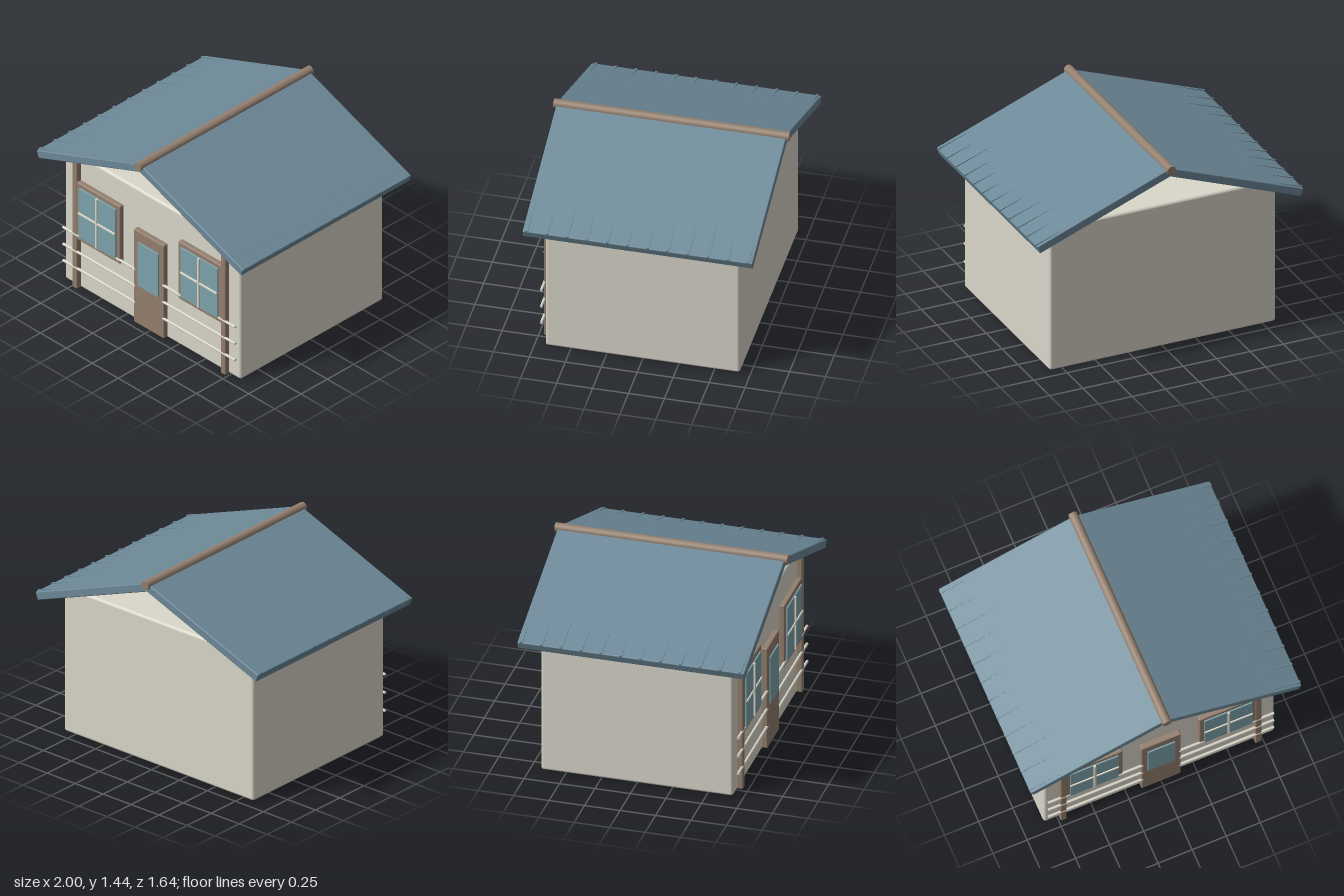
import * as THREE from 'three';
import { RoundedBoxGeometry } from 'three/addons/geometries/RoundedBoxGeometry.js';

const mat = (color) => new THREE.MeshStandardMaterial({ color });

export function createModel() {
  const house = new THREE.Group();
  house.name = 'house';
  const wall = mat(0xdad7ca), wood = mat(0x94806f), roofing = mat(0x6d8998), glass = mat(0x7da4ac);

  const add = (name, geometry, material, x, y, z, parent = house) => {
    const mesh = new THREE.Mesh(geometry, material);
    mesh.name = name;
    mesh.position.set(x, y, z);
    parent.add(mesh);
    return mesh;
  };
  // Box with softened edges, given by its extents
  const block = (name, material, [x0, x1], [y0, y1], [z0, z1], r, parent) =>
    add(name, new RoundedBoxGeometry(x1 - x0, y1 - y0, z1 - z0, 3, r), material,
      (x0 + x1) / 2, (y0 + y1) / 2, (z0 + z1) / 2, parent);

  // Walls
  block('walls', wall, [-0.847, 0.847], [0, 1.085], [-0.677, 0.677], 0.02);

  // Roof slopes with slim tapering battens rising out of the eaves
  const pitch = Math.atan(0.379), length = 1.055, thick = 0.06;
  const battenLengths = [0.4, 0.34, 0.46, 0.42, 0.36, 0.28, 0.24, 0.3, 0.34, 0.48, 0.36, 0.42];
  for (const side of [1, -1]) {
    const slope = new THREE.Group();
    slope.name = side > 0 ? 'leftRoofSlope' : 'rightRoofSlope';
    slope.position.set(side * 0.493, 1.198, 0);
    slope.rotation.z = -side * pitch;
    add('roofPanel', new RoundedBoxGeometry(length, thick, 1.6, 3, 0.008), roofing, 0, 0, 0, slope);
    battenLengths.forEach((l, i) => {
      const shape = new THREE.Shape([
        new THREE.Vector2(0, -0.01), new THREE.Vector2(0, 0.007), new THREE.Vector2(-l, -0.004), new THREE.Vector2(-l, -0.01),
      ]);
      const geometry = new THREE.ExtrudeGeometry(shape, { depth: 0.018, bevelEnabled: false });
      geometry.translate(0, 0, -0.009);
      if (side < 0) geometry.rotateY(Math.PI);
      add('batten', geometry, roofing, side * (length / 2 - 0.002), thick / 2, -0.77 + i * 0.14, slope);
    });
    house.add(slope);
  }

  // Ridge pole
  const ridge = add('ridgePole', new THREE.CylinderGeometry(0.033, 0.033, 1.64, 24), wood, 0, 1.405, 0);
  ridge.rotation.x = Math.PI / 2;

  // Door with pane
  block('door', wood, [-0.145, 0.145], [0.01, 0.775], [0.66, 0.715], 0.008);
  block('doorPane', glass, [-0.1, 0.1], [0.333, 0.69], [0.7, 0.725], 0.002);

  for (const side of [1, -1]) {
    // Corner post
    const px = side * 0.715;
    block('post', wood, [px - 0.023, px + 0.023], [0.003, 1.055], [0.67, 0.715], 0.008);

    // Window: frame, pane and crossbars
    const window = new THREE.Group();
    window.name = side > 0 ? 'leftWindow' : 'rightWindow';
    window.position.set(side * 0.492, 0.648, 0);
    house.add(window);
    block('frame', wood, [-0.212, 0.212], [-0.237, 0.237], [0.66, 0.712], 0.01, window);
    block('pane', glass, [-0.177, 0.177], [-0.203, 0.203], [0.69, 0.722], 0.002, window);
    block('verticalBar', wall, [-0.008, 0.008], [-0.203, 0.203], [0.71, 0.733], 0.003, window);
    block('horizontalBar', wall, [-0.177, 0.177], [-0.008, 0.008], [0.71, 0.731], 0.003, window);

    // Porch rails
    for (const y of [0.172, 0.308, 0.445]) {
      const rail = add('rail', new THREE.CylinderGeometry(0.01, 0.01, 0.7, 12), wall, side * 0.48, y, 0.709);
      rail.rotation.z = Math.PI / 2;
    }
  }
  return house;
}
